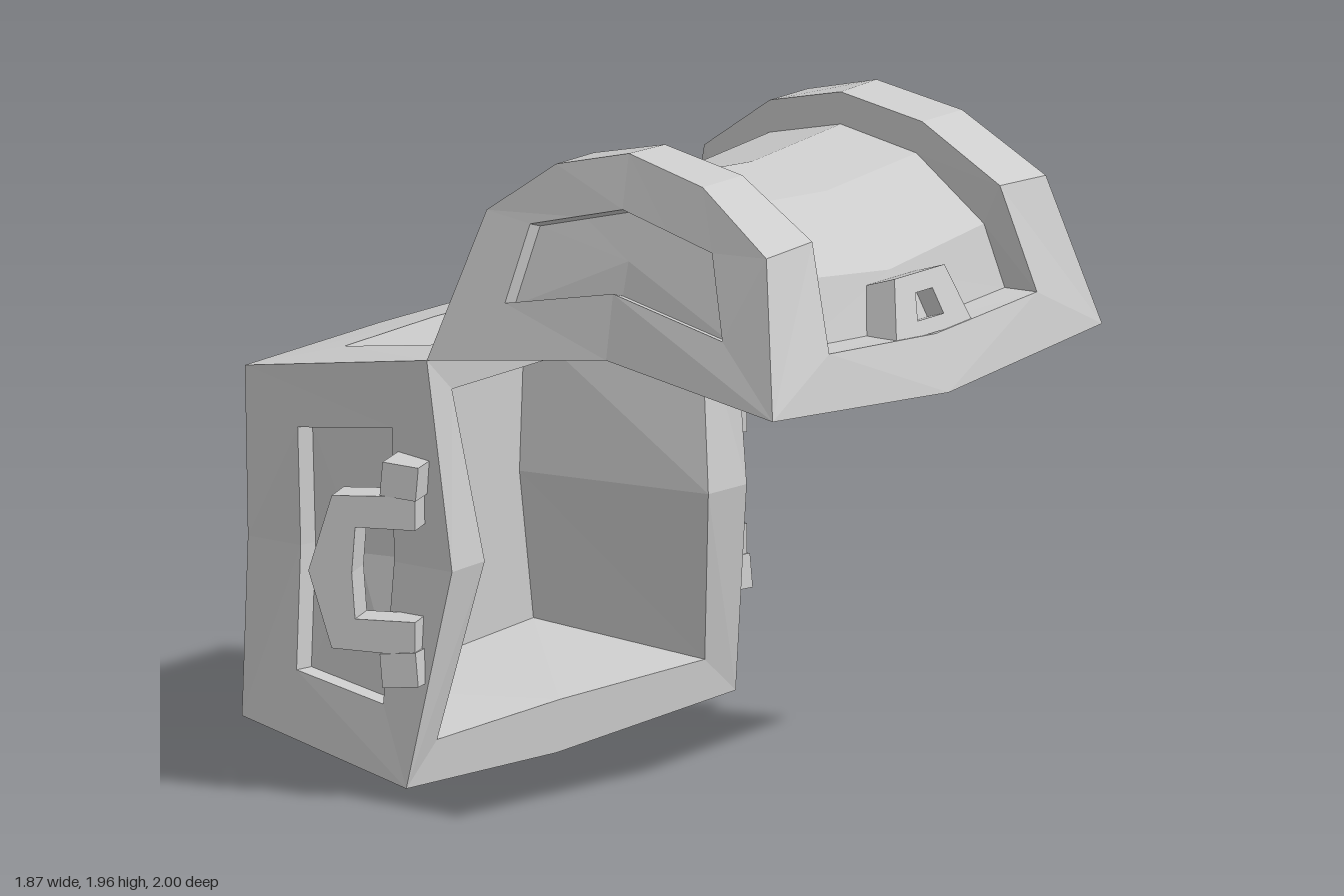
import * as THREE from 'three';

const material = new THREE.MeshStandardMaterial({ color: 0xcccccc, flatShading: true, side: THREE.DoubleSide });

// Collects faces for the +x half and mirrors each one to the -x half
class MirroredSurface {
  constructor() { this.positions = []; }
  poly(...pts) {
    for (let i = 1; i < pts.length - 1; i++) {
      const tri = [pts[0], pts[i], pts[i + 1]];
      tri.forEach((p) => this.positions.push(...p));
      tri.reverse().forEach(([x, y, z]) => this.positions.push(-x, y, z));
    }
  }
  // Quads joining two point chains
  strip(a, b, closed = false) {
    const n = closed ? a.length : a.length - 1;
    for (let i = 0; i < n; i++) {
      const j = (i + 1) % a.length;
      this.poly(a[i], a[j], b[j], b[i]);
    }
  }
  // Fill a loop with a fan around its middle
  cap(loop) {
    const mid = [0, 1, 2].map((k) => loop.reduce((s, p) => s + p[k], 0) / loop.length);
    loop.forEach((p, i) => this.poly(mid, p, loop[(i + 1) % loop.length]));
  }
  // Frame, inner walls and sunken floor
  panel(outer, inner, floor, closed = false) {
    this.strip(outer, inner, closed);
    this.strip(inner, floor, closed);
    this.cap(floor);
  }
  mesh(name) {
    const g = new THREE.BufferGeometry();
    g.setAttribute('position', new THREE.Float32BufferAttribute(this.positions, 3));
    g.computeVertexNormals();
    return named(new THREE.Mesh(g, material), name);
  }
}

function named(object, name) {
  object.name = name;
  return object;
}

const shift = (pts, dx, dy, dz) => pts.map(([x, y, z]) => [x + dx, y + dy, z + dz]);
const centre = (pts, dy) => pts.map(([, y, z]) => [0, y + dy, z]);

// Chest body lying on its back, opening towards +z
function makeBody() {
  const s = new MirroredSurface();
  const T = [0.765, 1.3, -0.3], Tc = [0, 1.31, -0.32], M = [0.738, 0.68, -0.23];
  const F = [0.825, 0.045, -0.33], Fc = [0, 0, -0.38];
  const t = [0.68, 1.185, -1], tc = [0, 1.192, -1], m = [0.665, 0.68, -1];
  const f = [0.695, 0.155, -1], fc = [0, 0.137, -1];

  // rim and hollow
  s.panel([Fc, F, M, T, Tc],
    [[0, 0.158, -0.37], [0.67, 0.163, -0.33], [0.56, 0.68, -0.24], [0.625, 1.19, -0.31], [0, 1.19, -0.32]],
    [[0, 0.205, -0.87], [0.58, 0.235, -0.87], [0.51, 0.68, -0.87], [0.535, 1.115, -0.87], [0, 1.115, -0.87]]);
  // side walls
  const side = [[0.74, 1.08, -0.44], [0.715, 0.68, -0.45], [0.77, 0.27, -0.45],
    [0.72, 0.32, -0.79], [0.685, 0.68, -0.8], [0.7, 1.03, -0.8]];
  s.panel([T, M, F, f, m, t], side, shift(side, -0.06, 0, 0.01), true);
  // upper wall (hinge side)
  const upper = [[0, 1.282, -0.48], [0.49, 1.275, -0.48], [0.45, 1.224, -0.81], [0, 1.232, -0.81]];
  s.panel([Tc, T, t, tc], upper, shift(upper, 0, -0.07, 0.03));
  // lower wall
  const lower = [[0, 0.092, -0.81], [0.48, 0.105, -0.81], [0.53, 0.045, -0.48], [0, 0.023, -0.48]];
  s.panel([fc, f, F, Fc], lower, shift(lower, 0, 0.07, 0.02));
  // base
  const base = [[0, 1.07, -1], [0.51, 1.06, -1], [0.5, 0.68, -1], [0.52, 0.28, -1], [0, 0.27, -1]];
  s.panel([tc, t, m, f, fc], base, shift(base, 0, 0, 0.05));
  return s.mesh('chestBody');
}

// Open lid: domed ribs at both ends with a sunken band between them
function makeLid() {
  const s = new MirroredSurface();
  // outer edge of the rib, front to back
  const P = [[0.825, 1.285, 0.96], [0.7, 1.73, 0.85], [0.65, 1.9, 0.59], [0.62, 1.96, 0.31],
    [0.63, 1.9, 0.06], [0.65, 1.74, -0.17], [0.765, 1.3, -0.3]];
  const sideMid = [0.735, 1.37, 0.31], front = [0, 1.232, 1], back = [0, 1.28, -0.305];
  // inner edge of the rib
  const Q = [[0.52, 1.43, 0.945], [0.47, 1.74, 0.85], [0.45, 1.9, 0.59], [0.44, 1.955, 0.31],
    [0.44, 1.9, 0.06], [0.44, 1.74, -0.17], [0.485, 1.42, -0.26]];
  // sunken band
  const B = [[0.515, 1.43, 0.835], [0.475, 1.62, 0.79], [0.45, 1.805, 0.57], [0.44, 1.86, 0.31],
    [0.44, 1.805, 0.06], [0.44, 1.62, -0.12], [0.48, 1.42, -0.16]];
  const C = centre(B, -0.032);
  C[1][1] = C[5][1] = 1.568;
  const frontEdge = [0, 1.4, 0.955], backEdge = [0, 1.39, -0.262];
  s.strip(P, Q);
  s.strip(Q, B);
  s.strip(B, C);
  // frame below the band, front and back, with its ledges
  s.poly(front, P[0], Q[0], frontEdge);
  s.poly(Q[0], B[0], C[0], frontEdge);
  s.poly(back, backEdge, Q[6], P[6]);
  s.poly(Q[6], backEdge, C[6], B[6]);
  // end panels
  const end = [[0.75, 1.48, 0.73], [0.7, 1.56, 0.31], [0.715, 1.49, -0.06], [0.66, 1.72, -0.01],
    [0.655, 1.76, 0.15], [0.652, 1.8, 0.31], [0.67, 1.76, 0.48], [0.688, 1.72, 0.65]];
  s.panel([P[0], sideMid, P[6], P[5], P[4], P[3], P[2], P[1]], end, shift(end, -0.05, -0.015, 0), true);
  // rim underneath and vaulted hollow
  const A = [[0.68, 1.285, 0.85], [0.58, 1.54, 0.71], [0.55, 1.71, 0.54], [0.54, 1.76, 0.31],
    [0.55, 1.71, 0.09], [0.56, 1.54, -0.06], [0.64, 1.3, -0.18]];
  const mid = [0.6, 1.36, 0.31];
  const vault = centre(A, -0.02);
  vault[0] = [0, 1.24, 0.88];
  vault[6] = [0, 1.28, -0.18];
  s.strip([back, P[6], sideMid, P[0], front], [vault[6], A[6], mid, A[0], vault[0]]);
  s.strip(vault, A);
  s.cap([...A, mid]);
  return s.mesh('lid');
}

function polygon(points, Type = THREE.Shape) {
  return new Type(points.map(([x, y]) => new THREE.Vector2(x, y)));
}

function extrude(shape, depth) {
  return new THREE.ExtrudeGeometry(shape, { depth, bevelEnabled: false });
}

// Lock block with a sunken keyhole, leaning with the lid front
function makeLock() {
  const lock = named(new THREE.Group(), 'lock');
  const outline = [[-0.19, 0], [0.19, 0], [0.125, 0.18], [-0.125, 0.18]];
  const plate = polygon(outline);
  plate.holes.push(polygon([[-0.065, 0.045], [-0.042, 0.125], [0.042, 0.125], [0.065, 0.045]], THREE.Path));
  const face = named(new THREE.Mesh(extrude(plate, 0.06), material), 'lockPlate');
  face.position.z = -0.06;
  const backing = named(new THREE.Mesh(extrude(polygon(outline), 0.06), material), 'lockBacking');
  backing.position.z = -0.12;
  lock.add(face, backing);
  lock.position.set(0, 1.403, 0.95);
  lock.rotation.x = -0.3;
  return lock;
}

// Carrying handle: C-shaped grip hanging outwards from two brackets
function makeHandle(name) {
  const handle = named(new THREE.Group(), name);
  const grip = extrude(polygon([[0, -0.235], [0.25, -0.225], [0.32, 0], [0.25, 0.225], [0, 0.235],
    [0, 0.135], [0.18, 0.135], [0.19, 0], [0.18, -0.135], [0, -0.135]]), 0.125);
  grip.translate(0, 0, -0.0625);
  const gripMesh = named(new THREE.Mesh(grip, material), 'grip');
  gripMesh.position.set(0.772, 0, -0.315);
  gripMesh.rotation.y = 1.234;
  handle.add(gripMesh);
  for (const sign of [1, -1]) {
    const bracket = named(new THREE.Mesh(new THREE.BoxGeometry(0.14, 0.1, 0.11), material), 'bracket');
    bracket.position.set(0.785, sign * 0.28, -0.355);
    bracket.rotation.set(sign * 0.1, -0.27, 0);
    handle.add(bracket);
  }
  handle.position.y = 0.675;
  return handle;
}

export function createModel() {
  const chest = named(new THREE.Group(), 'openChest');
  const leftHandle = makeHandle('leftHandle');
  const rightHandle = makeHandle('rightHandle');
  rightHandle.rotation.z = Math.PI;
  chest.add(makeBody(), makeLid(), makeLock(), leftHandle, rightHandle);
  return chest;
}
